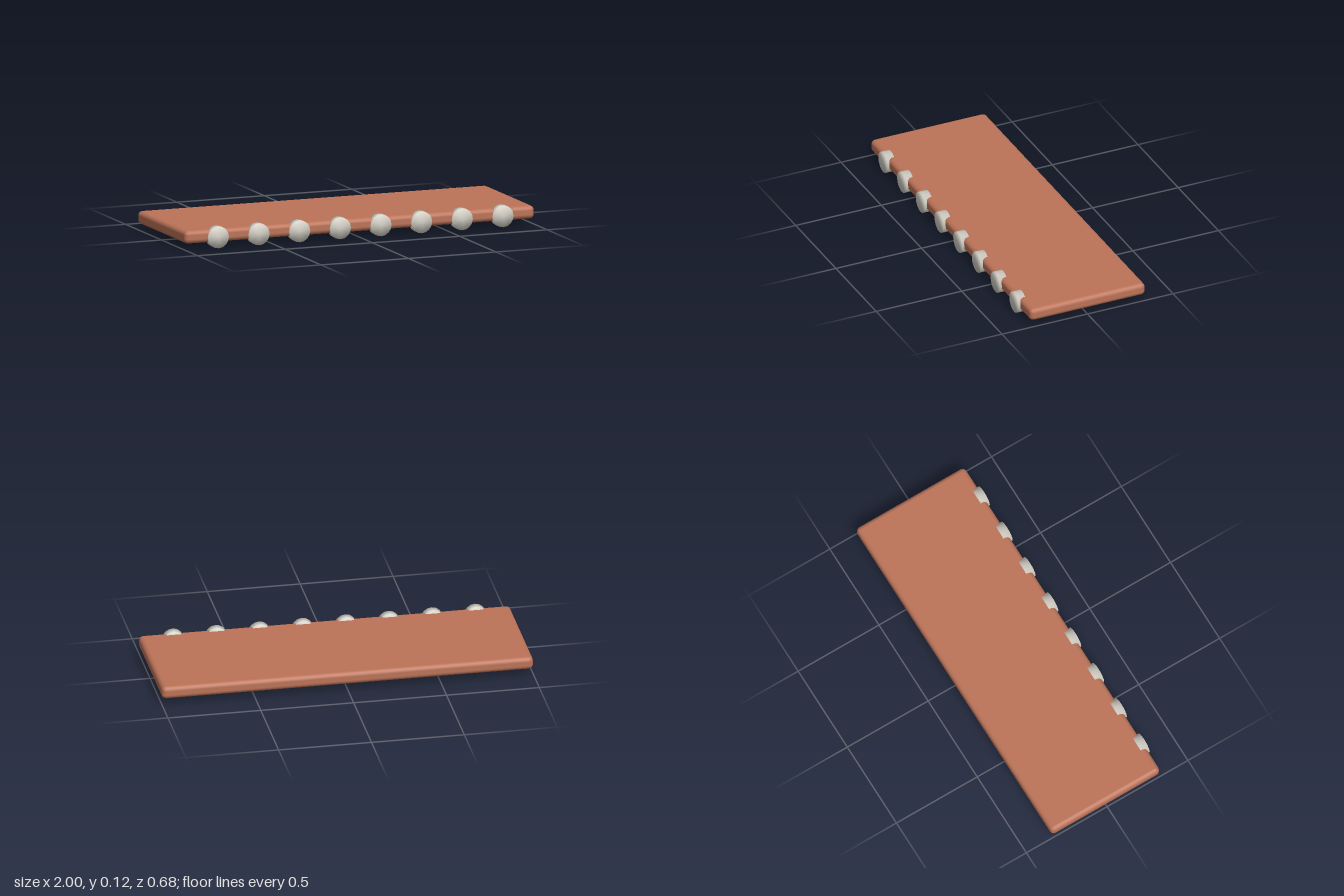
import * as THREE from 'three';
import { mergeVertices } from 'three/addons/utils/BufferGeometryUtils.js';
import { RoundedBoxGeometry } from 'three/addons/geometries/RoundedBoxGeometry.js';

// Share vertices so shading flows softly over the rim
function soften(geometry) {
  geometry.deleteAttribute('uv');
  geometry.deleteAttribute('normal');
  const merged = mergeVertices(geometry, 1e-4);
  merged.computeVertexNormals();
  return merged;
}

export function createModel() {
  const group = new THREE.Group();
  group.name = 'studdedSlab';

  const clay = new THREE.MeshStandardMaterial({ color: 0xbc7358 });
  clay.name = 'terracotta';
  const stone = new THREE.MeshStandardMaterial({ color: 0xd6d2c8 });
  stone.name = 'paleStone';

  // Flat slab with rounded edges
  const slab = new THREE.Mesh(new RoundedBoxGeometry(2, 0.07, 0.673, 2, 0.024), clay);
  slab.name = 'slab';
  slab.position.set(0, 0.066, -0.0055);
  group.add(slab);

  // Row of round studs along the front edge
  const studGeometry = soften(new THREE.CylinderGeometry(0.0585, 0.0585, 0.046, 16).rotateX(Math.PI / 2));
  const count = 8;
  const spacing = 0.2325;
  for (let i = 0; i < count; i++) {
    const stud = new THREE.Mesh(studGeometry, stone);
    stud.name = `stud${i + 1}`;
    stud.position.set((i - (count - 1) / 2) * spacing, 0.0585, 0.319);
    group.add(stud);
  }

  return group;
}
